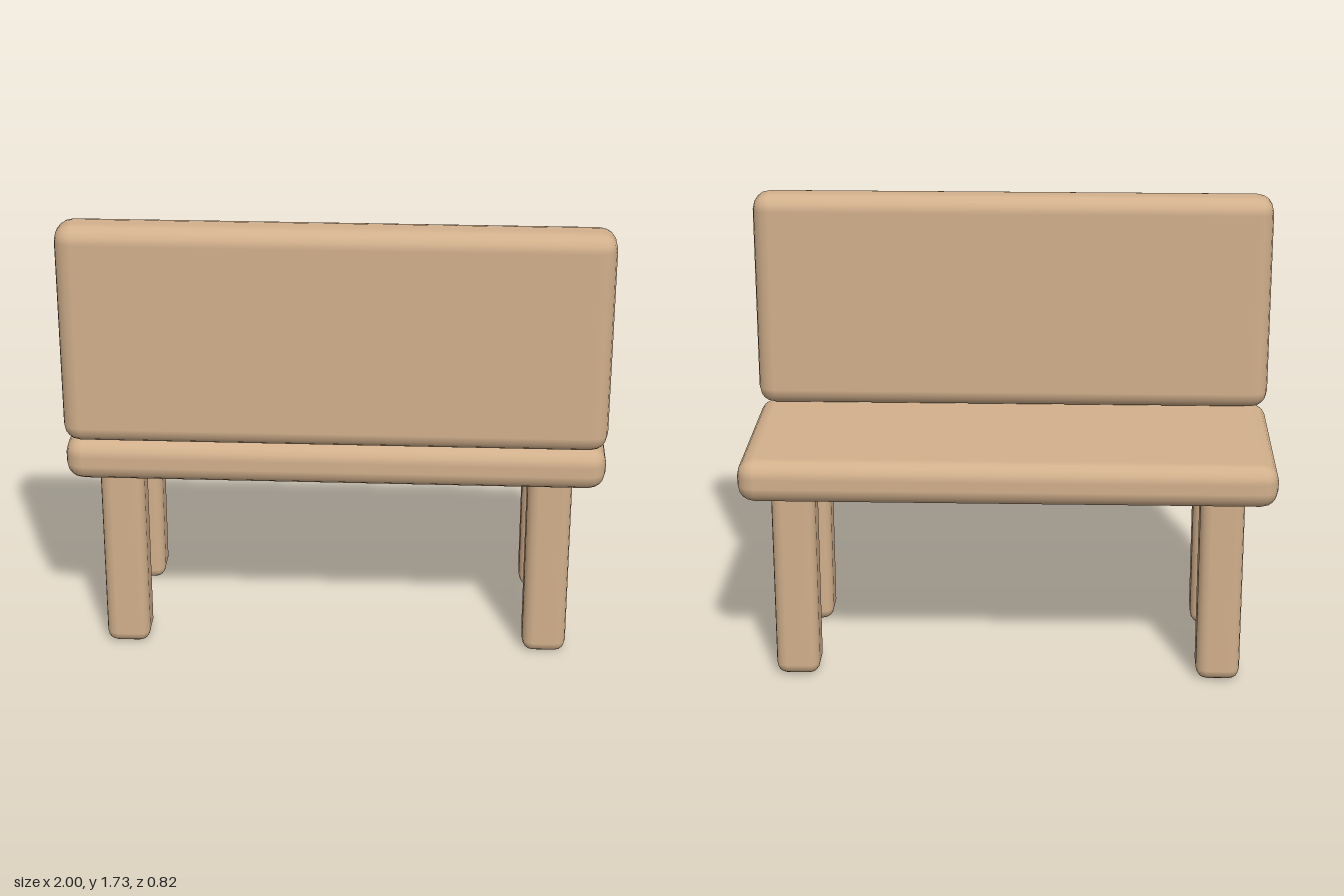
import * as THREE from 'three';
import { RoundedBoxGeometry } from 'three/addons/geometries/RoundedBoxGeometry.js';

export function createModel() {
  const bench = new THREE.Group();
  bench.name = 'bench';
  const wood = new THREE.MeshStandardMaterial({ color: 0xd2b08c });

  // Rounded block given by its size, centre and edge radius
  function block(name, [w, h, d], [x, y, z], radius) {
    const mesh = new THREE.Mesh(new RoundedBoxGeometry(w, h, d, 2, radius), wood);
    mesh.name = name;
    mesh.position.set(x, y, z);
    bench.add(mesh);
  }

  // Seat slab and upright backrest
  block('seat', [2, 0.165, 0.8], [0, 0.803, -0.01], 0.065);
  block('backrest', [2, 0.845, 0.165], [0, 1.308, 0.327], 0.065);

  // Four legs, their tops sunk into the seat
  for (const [side, x] of [['Left', 0.8], ['Right', -0.8]]) {
    for (const [end, z] of [['back', 0.245], ['front', -0.262]]) {
      block(`${end}${side}Leg`, [0.165, 0.78, 0.168], [x, 0.39, z], 0.042);
    }
  }
  return bench;
}
